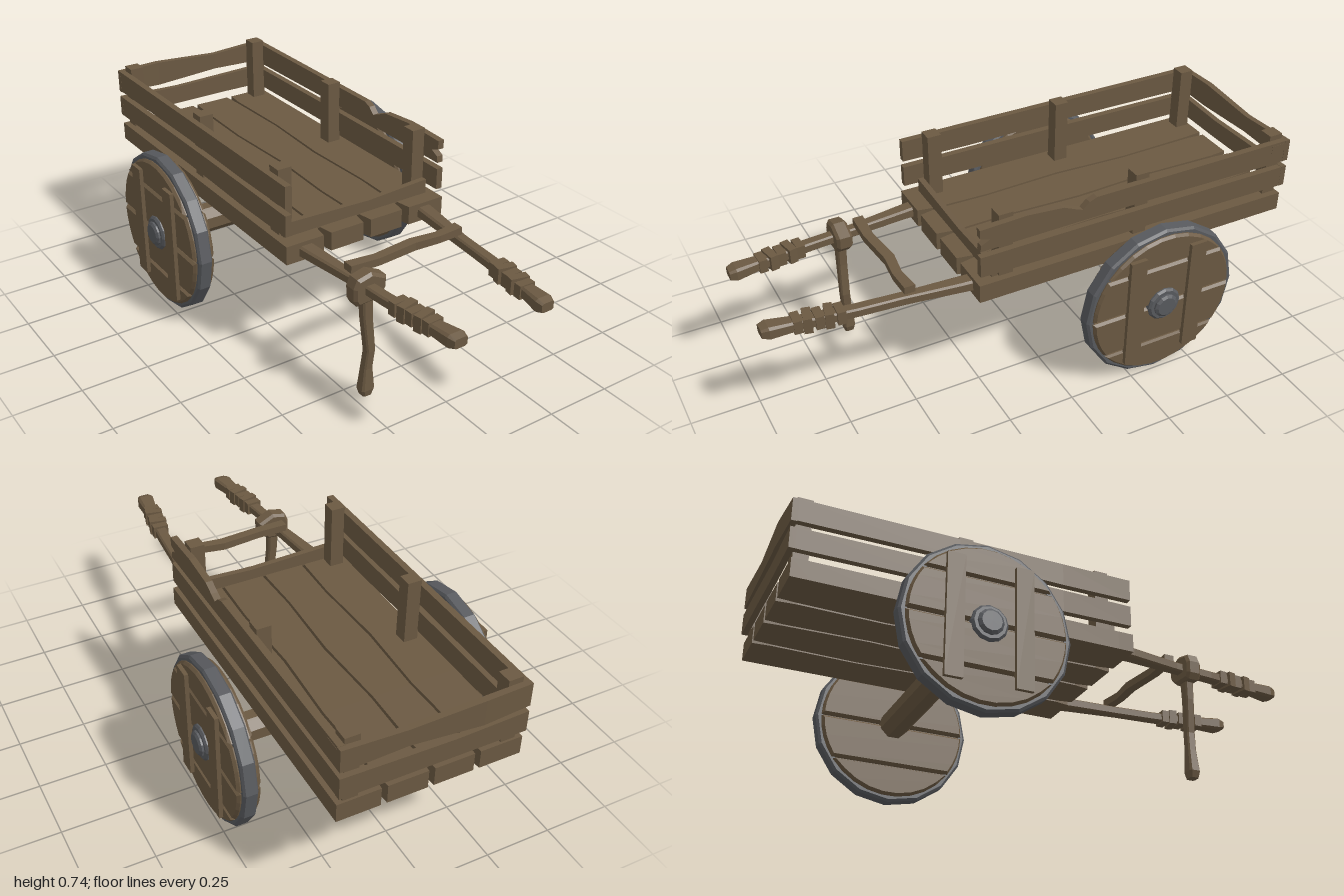
import * as THREE from 'three';

const wood = new THREE.MeshStandardMaterial({ color: 0x6b5942 });
wood.name = 'weathered wood';
const iron = new THREE.MeshStandardMaterial({ color: 0x585a5e });
iron.name = 'dull iron';

// Faceted mesh added to a parent
function add(parent, name, geometry, material = wood, x = 0, y = 0, z = 0) {
  const g = geometry.index ? geometry.toNonIndexed() : geometry;
  g.computeVertexNormals();
  const m = new THREE.Mesh(g, material);
  m.name = name;
  m.position.set(x, y, z);
  parent.add(m);
  return m;
}

const box = (w, h, d) => new THREE.BoxGeometry(w, h, d);

// Hewn beam through [x, y, z, sizeU, sizeV] stations that ascend along one axis.
// (u, v) is (x, y) for axis z, (y, z) for axis x and (z, x) for axis y.
function beam(axis, stations, chamfer = 0) {
  const [u, v] = { z: [0, 1], x: [1, 2], y: [2, 0] }[axis];
  const c = 1 - chamfer;
  const ring = chamfer
    ? [[1, -c], [1, c], [c, 1], [-c, 1], [-1, c], [-1, -c], [-c, -1], [c, -1]]
    : [[1, -1], [1, 1], [-1, 1], [-1, -1]];
  const n = ring.length, pos = [], idx = [];
  stations.forEach((s) => ring.forEach(([a, b]) => {
    const p = s.slice(0, 3);
    p[u] += a * s[3] / 2;
    p[v] += b * s[4] / 2;
    pos.push(...p);
  }));
  const last = (stations.length - 1) * n;
  for (let r = 0; r < last; r += n) {
    for (let i = 0; i < n; i++) {
      const j = (i + 1) % n;
      idx.push(r + i, r + j, r + n + j, r + i, r + n + j, r + n + i);
    }
  }
  for (let i = 1; i < n - 1; i++) idx.push(0, i + 1, i, last, last + i, last + i + 1);
  const g = new THREE.BufferGeometry();
  g.setAttribute('position', new THREE.Float32BufferAttribute(pos, 3));
  g.setIndex(idx);
  return g;
}

function polygon(points) {
  return new THREE.Shape(points.map(([x, y]) => new THREE.Vector2(x, y)));
}

// Wheel facing +x, centred on its tyre
function makeWheel() {
  const wheel = new THREE.Group();
  const r = 0.283, cuts = [-r * 0.995, -0.165, 0, 0.165, r * 0.995];
  for (let k = 0; k < 4; k++) {
    const a0 = Math.asin((cuts[k] + (k ? 0.004 : 0)) / r);
    const a1 = Math.asin((cuts[k + 1] - (k < 3 ? 0.004 : 0)) / r);
    const arc = [0, 1, 2, 3, 4].map((i) => {
      const a = a0 + (a1 - a0) * i / 4;
      return [r * Math.cos(a), r * Math.sin(a)];
    });
    const outline = [...arc, ...arc.slice().reverse().map(([x, y]) => [-x, y])];
    const g = new THREE.ExtrudeGeometry(polygon(outline), {
      depth: 0.066, bevelEnabled: true, bevelSegments: 1,
      bevelThickness: 0.01, bevelSize: 0.008, bevelOffset: -0.008,
    });
    g.translate(0, 0, -0.035).rotateY(Math.PI / 2);
    add(wheel, 'wheelPlank', g);
  }
  const core = new THREE.CylinderGeometry(0.279, 0.279, 0.045, 16).rotateZ(Math.PI / 2);
  add(wheel, 'wheelCore', core);
  // Tyre
  const loop = [[0.277, -0.027], [0.296, -0.027], [0.305, -0.02], [0.305, 0.02],
    [0.296, 0.027], [0.277, 0.027], [0.277, -0.027]].map(([x, y]) => new THREE.Vector2(x, y));
  add(wheel, 'tyre', new THREE.LatheGeometry(loop, 16).rotateZ(-Math.PI / 2), iron);
  // Cleats across the planks
  for (const z of [-0.123, 0.123]) {
    add(wheel, 'wheelCleat', box(0.02, 0.445, 0.064), wood, 0.046, 0.005, z);
  }
  // Hub
  const hub = [[0, 0.03], [0.066, 0.03], [0.066, 0.046], [0.058, 0.053], [0.046, 0.053],
    [0.046, 0.06], [0.036, 0.067], [0, 0.067]].map(([x, y]) => new THREE.Vector2(x, y));
  add(wheel, 'hub', new THREE.LatheGeometry(hub, 12).rotateZ(-Math.PI / 2), iron);
  return wheel;
}

function makeFloor() {
  const floor = new THREE.Group();
  floor.name = 'floor';
  // Wandering seams that open up at the plank ends
  const zs = [-0.98, -0.91, -0.6, -0.3, 0, 0.22, 0.28];
  const wander = [0, 0, 0.008, -0.006, 0.006, 0, 0];
  const gap = [0.022, 0.011, 0.009, 0.01, 0.009, 0.011, 0.032];
  const seam = (k, i, side) => {
    if (k === 0) return -0.335;
    if (k === 4) return 0.335;
    return (k - 2) * 0.168 + wander[i] * (k === 2 ? -1 : 1) + side * gap[i] / 2;
  };
  for (let k = 0; k < 4; k++) {
    add(floor, 'floorPlank', beam('z', zs.map((z, i) => {
      const a = seam(k, i, 1), b = seam(k + 1, i, -1);
      return [(a + b) / 2, 0.453, z, b - a, 0.07];
    })));
  }
  return floor;
}

function makeSides() {
  const sides = new THREE.Group();
  sides.name = 'sides';
  for (const s of [-1, 1]) {
    for (const z of [-0.945, -0.368, 0.168]) {
      add(sides, 'post', box(0.054, 0.25, 0.054), wood, s * 0.284, 0.61, z);
    }
    add(sides, 'lowerRail', beam('z', [[s * 0.322, 0.563, -0.975, 0.025, 0.08],
      [s * 0.322, 0.566, -0.4, 0.025, 0.078], [s * 0.322, 0.562, 0, 0.025, 0.085],
      [s * 0.322, 0.563, 0.275, 0.025, 0.08]]));
  }
  add(sides, 'leftLowerPatch', box(0.012, 0.03, 0.07), wood, 0.329, 0.69, -0.95);
  add(sides, 'rightUpperRail', beam('z', [[-0.322, 0.671, -0.975, 0.025, 0.085],
    [-0.322, 0.673, -0.4, 0.025, 0.08], [-0.322, 0.67, 0, 0.025, 0.086],
    [-0.322, 0.671, 0.275, 0.025, 0.083]]));
  // Chipped and split upper rail
  const chipped = polygon([[-0.975, 0.628], [-0.35, 0.634], [0.275, 0.628], [0.272, 0.652],
    [0.24, 0.668], [0.275, 0.68], [0.275, 0.713], [0.1, 0.72], [-0.04, 0.708], [-0.085, 0.688],
    [-0.115, 0.676], [-0.14, 0.7], [-0.17, 0.712], [-0.975, 0.715]]);
  const g = new THREE.ExtrudeGeometry(chipped, { depth: 0.025, bevelEnabled: false });
  add(sides, 'leftUpperRail', g.rotateY(-Math.PI / 2), wood, 0.334);
  // Back boards
  add(sides, 'backUpperBoard', beam('x', [[-0.335, 0.67, -0.982, 0.088, 0.022],
    [-0.16, 0.668, -0.988, 0.096, 0.024], [0.1, 0.67, -0.981, 0.064, 0.022],
    [0.335, 0.672, -0.982, 0.085, 0.022]]));
  add(sides, 'backLowerBoard', beam('x', [[-0.335, 0.563, -0.982, 0.08, 0.022],
    [-0.08, 0.558, -0.981, 0.072, 0.022], [0.12, 0.561, -0.982, 0.075, 0.022],
    [0.335, 0.563, -0.982, 0.082, 0.022]]));
  // Low front board
  add(sides, 'frontBoard', beam('x', [[-0.305, 0.512, 0.21, 0.06, 0.022],
    [0.05, 0.508, 0.21, 0.044, 0.022], [0.305, 0.512, 0.21, 0.06, 0.022]]));
  return sides;
}

function makeShaft(s) {
  const shaft = new THREE.Group();
  shaft.name = s > 0 ? 'leftShaft' : 'rightShaft';
  add(shaft, 'pole', beam('z', [[s * 0.258, 0.452, 0.24, 0.06, 0.045],
    [s * 0.25, 0.452, 0.32, 0.056, 0.04], [s * 0.228, 0.45, 0.52, 0.042, 0.036],
    [s * 0.215, 0.45, 0.68, 0.044, 0.036], [s * 0.19, 0.452, 0.88, 0.05, 0.04],
    [s * 0.178, 0.452, 0.975, 0.066, 0.05], [s * 0.176, 0.452, 1, 0.05, 0.034]], 0.3));
  // Grip wrapping
  for (let i = 0; i < 5; i++) {
    const z = 0.735 + i * 0.036;
    const wrap = add(shaft, 'gripWrap', box(0.06 + (i % 2) * 0.008, 0.05 + (i % 2) * 0.008, 0.03),
      wood, s * (0.208 - i * 0.005), 0.452, z);
    wrap.rotation.y = (i % 2 ? 0.22 : 0.05) * -s;
  }
  return shaft;
}

export function createModel() {
  const cart = new THREE.Group();
  cart.name = 'handCart';
  cart.add(makeFloor(), makeSides(), makeShaft(1), makeShaft(-1));

  // Wheels and axle
  for (const s of [-1, 1]) {
    const wheel = makeWheel();
    wheel.name = s > 0 ? 'leftWheel' : 'rightWheel';
    wheel.position.set(s * 0.464, 0.305, -0.36);
    wheel.rotation.y = s > 0 ? 0 : Math.PI;
    cart.add(wheel);
  }
  const axle = new THREE.CylinderGeometry(0.056, 0.056, 0.96, 8, 1, false, Math.PI / 8);
  add(cart, 'axle', axle.rotateZ(Math.PI / 2), wood, 0, 0.306, -0.36);

  // Crossbar between the shafts
  add(cart, 'crossbar', beam('x', [[-0.235, 0.482, 0.495, 0.03, 0.04],
    [-0.12, 0.478, 0.5, 0.028, 0.036], [0.04, 0.478, 0.485, 0.03, 0.038],
    [0.14, 0.48, 0.498, 0.028, 0.034], [0.235, 0.482, 0.492, 0.03, 0.04]]));

  // Prop leg with its binding
  add(cart, 'propLeg', beam('y', [[-0.215, 0.02, 0.578, 0.034, 0.036],
    [-0.215, 0.045, 0.578, 0.044, 0.052], [-0.213, 0.13, 0.578, 0.034, 0.034],
    [-0.206, 0.2, 0.582, 0.034, 0.034], [-0.218, 0.33, 0.578, 0.034, 0.038],
    [-0.22, 0.42, 0.576, 0.036, 0.044], [-0.22, 0.49, 0.576, 0.036, 0.04]], 0.3));
  const binding = polygon([[-0.05, -0.058], [0.03, -0.053], [0.064, -0.02], [0.066, 0.025],
    [0.005, 0.055], [-0.05, 0.042], [-0.064, 0.01], [-0.062, -0.035]]);
  add(cart, 'legBinding', new THREE.ExtrudeGeometry(binding, {
    depth: 0.04, bevelEnabled: true, bevelSegments: 1,
    bevelThickness: 0.01, bevelSize: 0.01, bevelOffset: -0.01,
  }), wood, -0.219, 0.454, 0.555);
  return cart;
}
